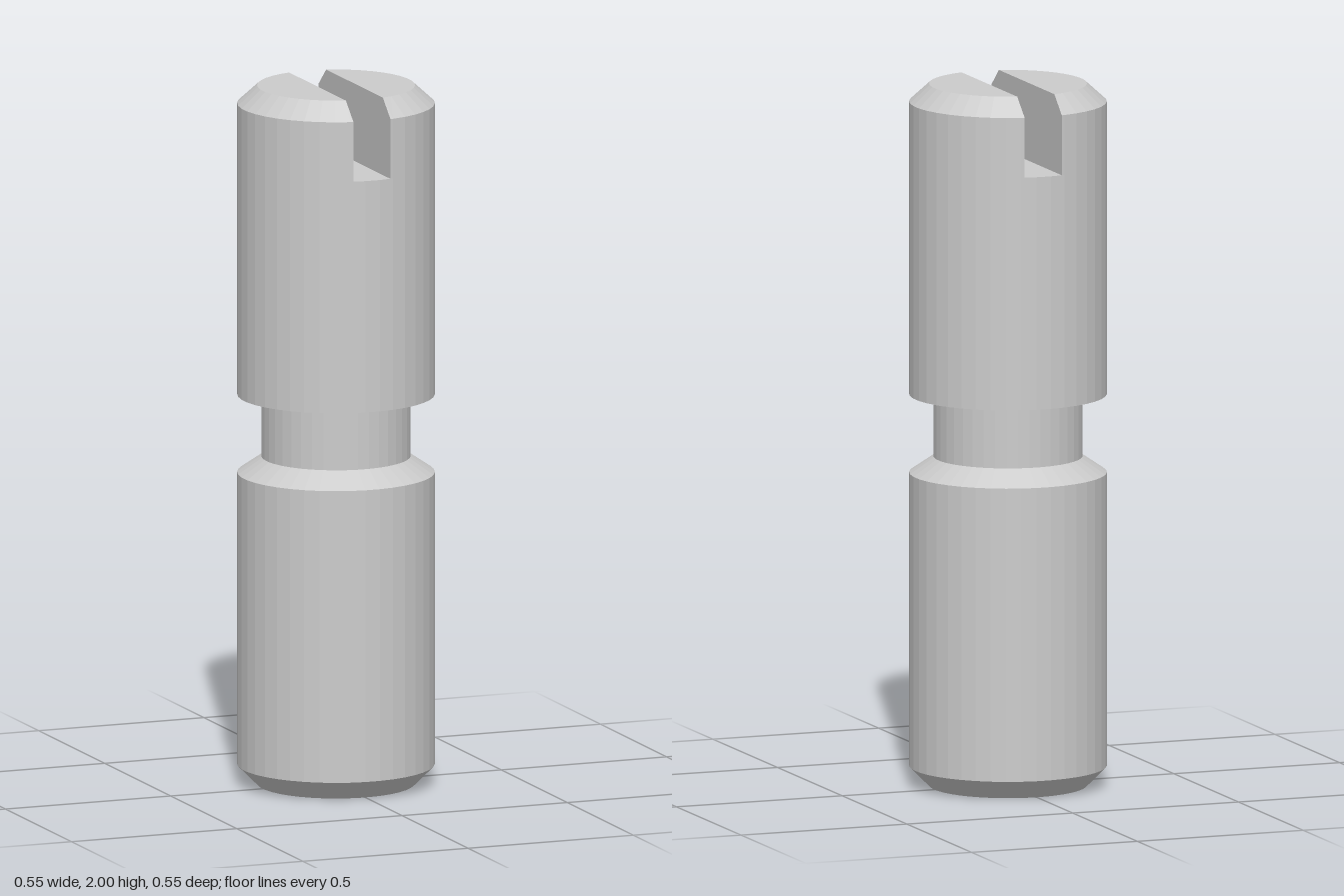
import * as THREE from 'three';

const SIDES = 40;
const STEP = (Math.PI * 2) / SIDES;
const R = 0.278;         // body radius
const R_END = 0.222;     // radius of the chamfered ends
const R_NECK = 0.21;     // radius of the groove
const SLOT = 0.056;      // half width of the slot
const SLOT_FLOOR = 1.778;

const material = new THREE.MeshStandardMaterial({ color: 0xcccccc, flatShading: true });

function turned(name, profile) {
  const points = profile.map(([r, y]) => new THREE.Vector2(r, y));
  const mesh = new THREE.Mesh(new THREE.LatheGeometry(points, SIDES, STEP / 2), material);
  mesh.name = name;
  return mesh;
}

// One side of the slotted head: D-shaped rings cut off flat at the slot wall
function headHalfGeometry() {
  const rings = [[R, SLOT_FLOOR], [R, 1.949], [R_END, 2]];
  const count = SIDES / 2;
  const positions = [];
  const index = [];
  for (const [r, y] of rings) {
    for (let i = 0; i < count; i++) {
      const a = (i - (count - 1) / 2) * STEP;
      let x = r * Math.cos(a);
      let z = r * Math.sin(a);
      if (x < SLOT) {
        x = SLOT;
        z = Math.sign(z) * Math.sqrt(r * r - SLOT * SLOT);
      }
      positions.push(x, y, z);
    }
  }
  const centre = positions.length / 3;
  positions.push(0.12, 2, 0);
  for (let i = 0; i < count; i++) {
    const next = (i + 1) % count;
    for (let j = 0; j < rings.length - 1; j++) {
      const low = j * count;
      const high = low + count;
      index.push(low + i, high + i, low + next, high + i, high + next, low + next);
    }
    const top = (rings.length - 1) * count;
    index.push(centre, top + next, top + i);
  }
  const geometry = new THREE.BufferGeometry();
  geometry.setAttribute('position', new THREE.Float32BufferAttribute(positions, 3));
  geometry.setIndex(index);
  geometry.computeVertexNormals();
  return geometry;
}

export function createModel() {
  const model = new THREE.Group();
  model.name = 'slottedPin';

  // Lower body, chamfered at both ends
  model.add(turned('lowerBody', [[0, 0], [R_END, 0], [R, 0.056], [R, 0.892], [R_NECK, 0.938]]));
  // Groove between the bodies
  model.add(turned('neck', [[R_NECK, 0.938], [R_NECK, 1.115]]));
  // Upper body up to the slot floor
  model.add(turned('upperBody', [[R_NECK, 1.115], [R, 1.115], [R, SLOT_FLOOR], [0, SLOT_FLOOR]]));

  // Two head halves either side of the slot
  const half = headHalfGeometry();
  ['leftHeadHalf', 'rightHeadHalf'].forEach((name, i) => {
    const mesh = new THREE.Mesh(half, material);
    mesh.name = name;
    mesh.rotation.y = i * Math.PI;
    model.add(mesh);
  });
  return model;
}
